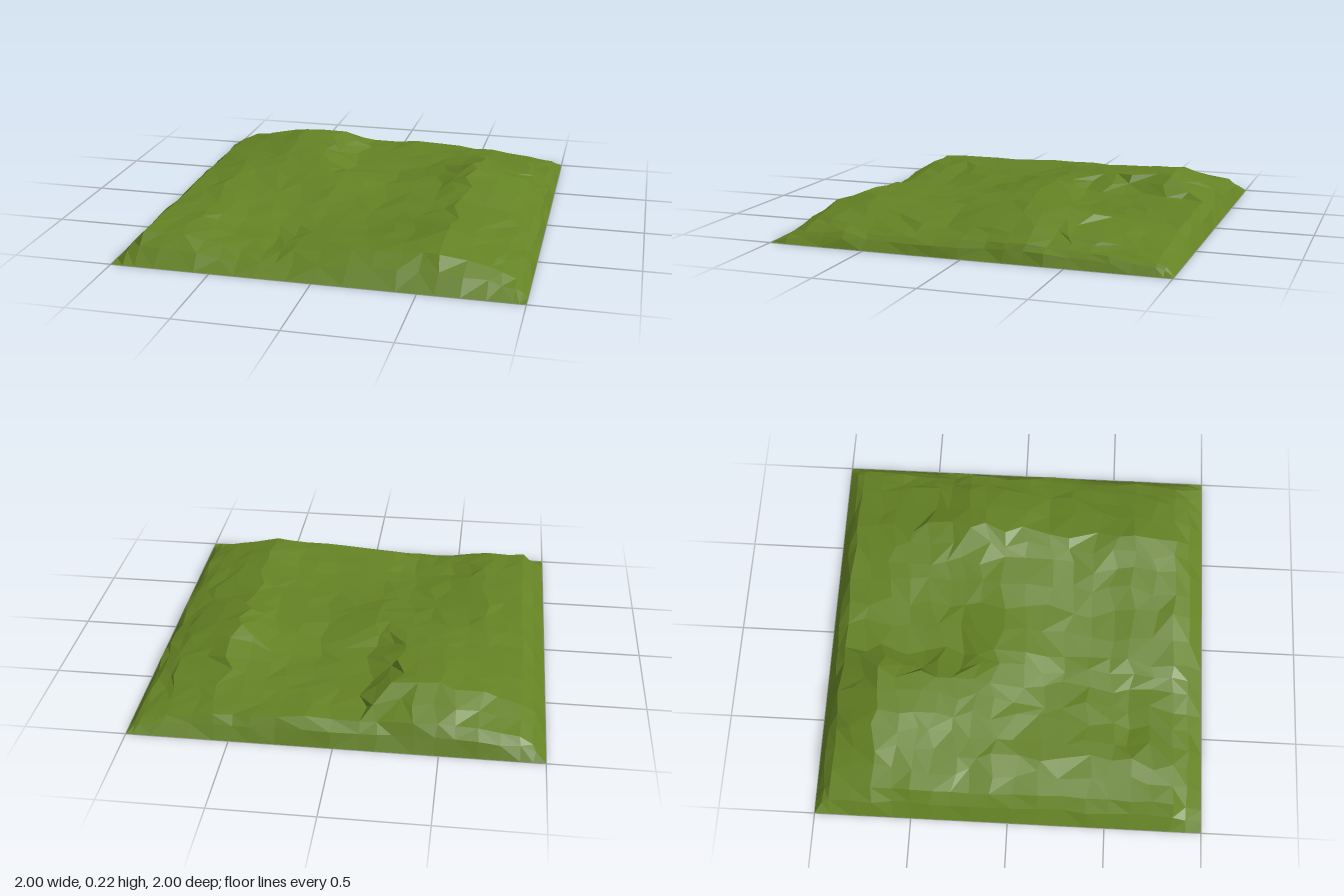
import * as THREE from 'three';

// Uneven survey lines across the ground, and heights (hundredths) where they cross
const XS = [-1, -0.88, -0.68, -0.48, -0.28, -0.12, 0.15, 0.4, 0.58, 0.82, 0.94, 1];
const ZS = [-1, -0.92, -0.7, -0.5, -0.3, -0.1, 0.15, 0.4, 0.62, 0.84, 1];
const HEIGHTS = [
  [9, 11, 12, 12, 10, 12, 10, 9, 7, 5],
  [12, 17, 21.5, 21, 12, 12, 12, 13, 9, 6],
  [13, 17, 20, 20, 12, 11, 13, 17, 11, 7],
  [13, 16, 18, 19, 13, 11, 15, 21.5, 14, 8.5],
  [13, 16, 17, 17.5, 17, 13, 15, 20, 13, 8],
  [13, 15.5, 13, 12, 13, 12, 14, 16.5, 11, 7],
  [12.5, 14, 12, 10, 9, 10, 13, 16, 11, 6.5],
  [13, 14, 9, 7, 9, 11, 14, 18, 12, 7],
  [12, 12.5, 8.5, 6.5, 10, 12, 13, 14, 10, 5],
];

function seeded(seed) {
  return () => {
    seed = (seed * 16807) % 2147483647;
    return seed / 2147483647 - 0.5;
  };
}

// Height at a survey crossing; the outer border lies on the ground
const surveyHeight = (i, j) => (HEIGHTS[j - 1]?.[i - 1] ?? 0) / 100;

function createTerrainGeometry() {
  const random = seeded(71);
  const columns = (XS.length - 1) * 2;
  const rows = (ZS.length - 1) * 2;
  const positions = [];
  const indices = [];

  // Halve every survey cell and nudge the inner points for an irregular facet pattern
  for (let r = 0; r <= rows; r++) {
    for (let c = 0; c <= columns; c++) {
      const i0 = Math.floor(c / 2), i1 = Math.ceil(c / 2);
      const j0 = Math.floor(r / 2), j1 = Math.ceil(r / 2);
      let x = (XS[i0] + XS[i1]) / 2;
      let z = (ZS[j0] + ZS[j1]) / 2;
      let y = (surveyHeight(i0, j0) + surveyHeight(i1, j0) +
        surveyHeight(i0, j1) + surveyHeight(i1, j1)) / 4;
      const inner = r > 0 && r < rows && c > 0 && c < columns;
      if (inner) {
        const nearRim = c < 3 || r < 3 || c > columns - 4 || r > rows - 3;
        const spread = nearRim ? 0.02 : 0.065;
        x += random() * spread;
        z += random() * spread;
        y += random() * 0.011;
        // Rounded shoulder just inside the border
        if (c === 1 || r === 1 || c === columns - 1 || r === rows - 1) y += 0.012;
      }
      positions.push(x, y, z);
    }
  }

  // Two triangles per cell, with the diagonal direction mixed
  const stride = columns + 1;
  for (let r = 0; r < rows; r++) {
    for (let c = 0; c < columns; c++) {
      const a = r * stride + c, b = a + 1, d = a + stride, e = d + 1;
      if (random() > 0) indices.push(a, d, b, b, d, e);
      else indices.push(a, d, e, a, e, b);
    }
  }

  const indexed = new THREE.BufferGeometry();
  indexed.setAttribute('position', new THREE.Float32BufferAttribute(positions, 3));
  indexed.setIndex(indices);
  const geometry = indexed.toNonIndexed();
  geometry.computeVertexNormals();
  return geometry;
}

export function createModel() {
  const group = new THREE.Group();
  group.name = 'hillyGround';

  const grass = new THREE.MeshStandardMaterial({
    color: 0x648224, flatShading: true, side: THREE.DoubleSide,
  });
  grass.name = 'grass green';

  // Open sheet of faceted hills
  const terrain = new THREE.Mesh(createTerrainGeometry(), grass);
  terrain.name = 'terrain';
  group.add(terrain);
  return group;
}
